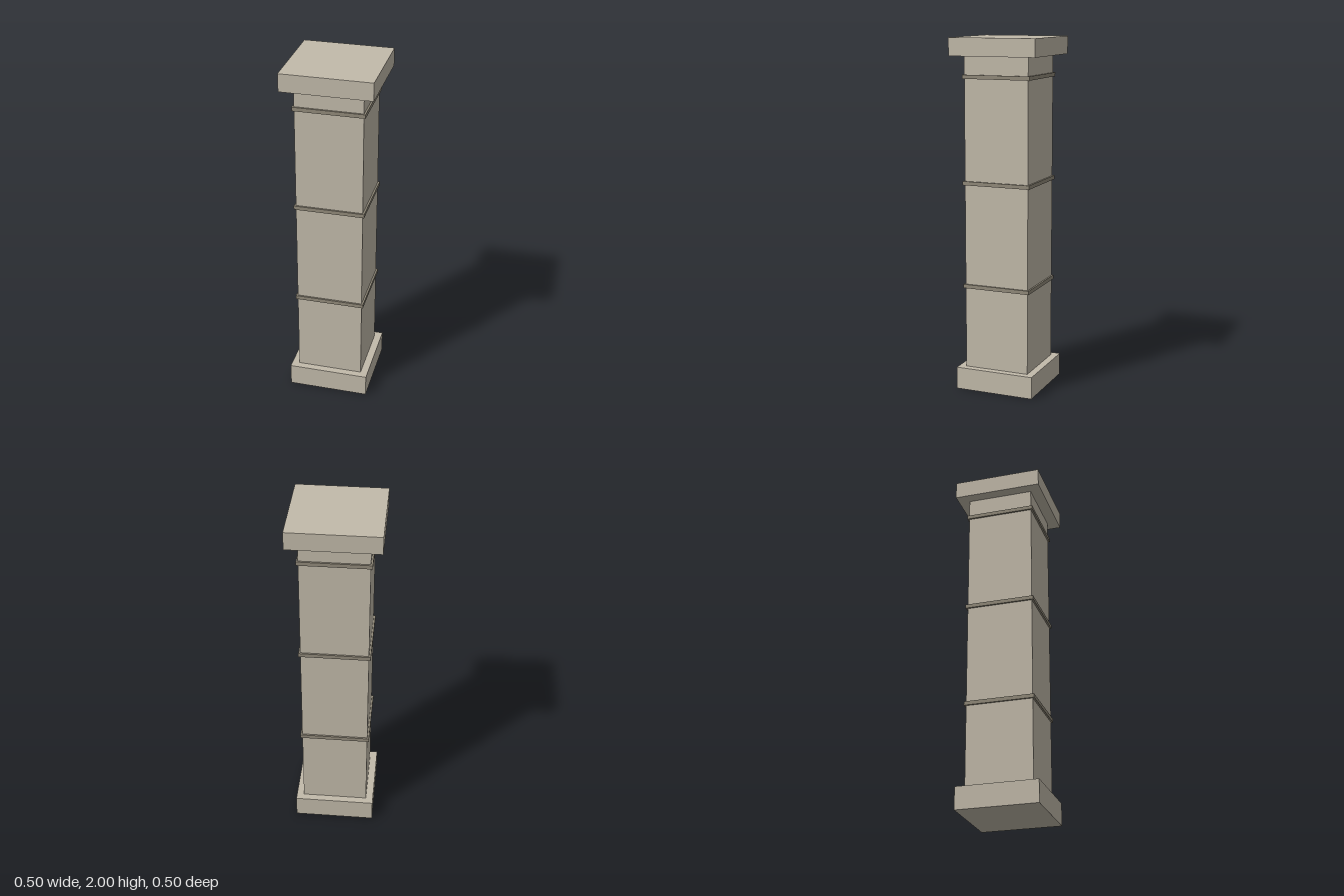
import * as THREE from 'three';

export function createModel() {
  const model = new THREE.Group();
  model.name = 'squareColumn';

  const stone = new THREE.MeshStandardMaterial({ color: 0xc2baaa });
  stone.name = 'pale stone';
  const darkStone = new THREE.MeshStandardMaterial({ color: 0x918a7a });
  darkStone.name = 'dark stone';

  // Square block between two heights
  const block = (name, width, bottom, top, material) => {
    const mesh = new THREE.Mesh(new THREE.BoxGeometry(width, top - bottom, width), material);
    mesh.position.y = (bottom + top) / 2;
    mesh.name = name;
    model.add(mesh);
  };

  block('base', 0.46, 0, 0.127, stone);
  block('shaft', 0.377, 0.127, 1.9, stone);
  block('cap', 0.505, 1.9, 2, stone);

  // Thin bands around the shaft
  [0.604, 1.196, 1.786].forEach((y, i) =>
    block(`band${i + 1}`, 0.397, y - 0.011, y + 0.011, darkStone));

  return model;
}
